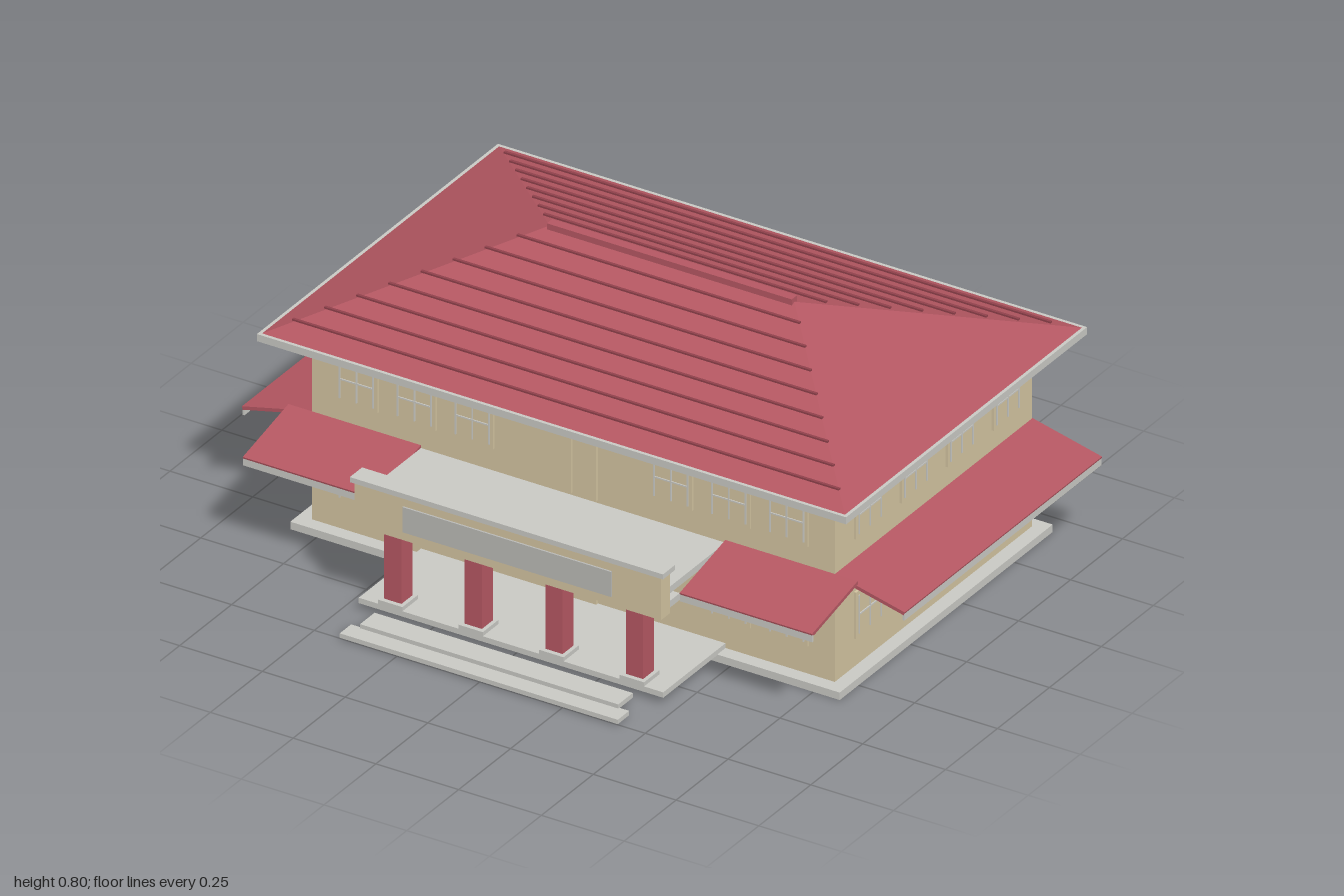
import * as THREE from 'three';

const mat = (name, color) => Object.assign(new THREE.MeshStandardMaterial({ color }), { name });

export function createModel() {
  const root = new THREE.Group();
  root.name = 'building';
  const wall = mat('cream wall', 0xd2c3a0);
  const red = mat('red roof', 0xb45762);
  const seam = mat('dark red seam', 0x8f414b);
  const grey = mat('grey trim', 0xc8c8c3);
  const panel = mat('sign grey', 0xb9b9b5);

  // Box given by its limits on each axis
  const box = (name, m, x0, x1, y0, y1, z0, z1, parent = root) => {
    const mesh = new THREE.Mesh(new THREE.BoxGeometry(x1 - x0, y1 - y0, z1 - z0), m);
    mesh.position.set((x0 + x1) / 2, (y0 + y1) / 2, (z0 + z1) / 2);
    mesh.name = name;
    parent.add(mesh);
    return mesh;
  };

  // Main block
  box('plinth', grey, -0.83, 0.83, 0, 0.022, -0.685, 0.34);
  box('walls', wall, -0.79, 0.79, 0.022, 0.575, -0.65, 0.3);
  box('floorBand', grey, -0.795, 0.795, 0.312, 0.33, -0.66, 0.305);
  box('cornice', grey, -0.795, 0.795, 0.562, 0.572, -0.655, 0.305);

  // Hipped roof with a closed soffit
  const ex = 0.883, ey = 0.587, zf = 0.398, zb = -0.748, rx = 0.37, ry = 0.785, rz = -0.175, sy = 0.572;
  const a = [-ex, ey, zf], b = [ex, ey, zf], c = [ex, ey, zb], d = [-ex, ey, zb];
  const l = [-rx, ry, rz], r = [rx, ry, rz];
  const under = [a, b, c, d].map(([x, , z]) => [x, sy, z]);
  const faces = [a, b, r, a, r, l, c, d, l, c, l, r, b, c, r, d, a, l,
    under[0], under[2], under[1], under[0], under[3], under[2]];
  const hip = new THREE.BufferGeometry();
  hip.setAttribute('position', new THREE.Float32BufferAttribute(faces.flat(), 3));
  hip.computeVertexNormals();
  const roof = new THREE.Mesh(hip, red);
  roof.name = 'hippedRoof';
  root.add(roof);
  box('ridgeCap', red, -rx, rx, 0.78, 0.798, rz - 0.013, rz + 0.013);

  // Fascia frame around the eaves
  box('frontFascia', grey, -0.89, 0.89, 0.567, 0.588, 0.393, 0.405);
  box('backFascia', grey, -0.89, 0.89, 0.567, 0.588, -0.755, -0.743);
  for (const s of [-1, 1]) {
    const f = box('sideFascia', grey, -0.006, 0.006, 0.567, 0.588, -0.743, 0.393);
    f.position.x = s * 0.884;
  }

  // Horizontal seams on the front and back slopes
  for (let i = 1; i <= 8; i++) {
    const t = i / 9;
    const w = ex + (rx - ex) * t;
    const y = ey + (ry - ey) * t + 0.009;
    for (const edge of [zf, zb]) {
      const z = edge + (rz - edge) * t;
      box('roofSeam', seam, -w, w, y - 0.003, y + 0.002, z - 0.004, z + 0.004);
    }
  }

  // Sloping canopy running outwards along +z from its origin
  const canopy = (name, width, run, drop) => {
    const g = new THREE.Group();
    g.name = name;
    const slab = box('canopySlab', red, -width / 2, width / 2, -0.005, 0.005,
      -Math.hypot(run, drop) / 2, Math.hypot(run, drop) / 2, g);
    slab.position.set(0, -drop / 2, run / 2);
    slab.rotation.x = Math.atan2(drop, run);
    box('canopyFascia', grey, -width / 2, width / 2, -drop - 0.02, -drop, run - 0.006, run, g);
    root.add(g);
    return g;
  };
  for (const s of [-1, 1]) {
    const side = canopy('sideCanopy', 0.95, 0.21, 0.05);
    side.position.set(s * 0.79, 0.336, -0.175);
    side.rotation.y = s * Math.PI / 2;
    canopy('frontCanopy', 0.4, 0.22, 0.05).position.set(s * 0.66, 0.336, 0.3);
  }

  // Window: raised cream plate with slim grey glazing bars
  const makeWindow = (w, h) => {
    const g = new THREE.Group();
    g.name = 'window';
    box('windowFrame', wall, -w / 2, w / 2, -h / 2, h / 2, 0, 0.007, g);
    const pw = w / 2 - 0.012, ph = h / 2 - 0.012;
    for (const k of [-1, 0, 1]) {
      box('upright', grey, k * pw - 0.002, k * pw + 0.002, -ph, ph, 0.007, 0.01, g);
    }
    box('crossBar', grey, -pw, pw, -0.002, 0.002, 0.007, 0.01, g);
    root.add(g);
    return g;
  };
  for (const y of [0.174, 0.467]) {
    for (const s of [-1, 1]) {
      for (const z of [0.143, -0.077, -0.298, -0.52]) {
        const win = makeWindow(0.13, 0.137);
        win.position.set(s * 0.79, y, z);
        win.rotation.y = s * Math.PI / 2;
      }
      for (const x of y > 0.3 ? [0.3, 0.475, 0.65] : [0.475, 0.65]) {
        makeWindow(0.125, 0.137).position.set(s * x, y, 0.3);
      }
    }
  }

  // Double doors on both floors
  for (const [y0, y1] of [[0.036, 0.25], [0.34, 0.53]]) {
    for (const s of [-1, 1]) {
      const leaf = box('doorLeaf', wall, -0.036, 0.036, y0, y1, 0.3, 0.308);
      leaf.position.x = s * 0.038;
    }
  }

  // Round red boss under the front eave
  const boss = new THREE.Mesh(new THREE.CylinderGeometry(0.025, 0.025, 0.012, 24), red);
  boss.name = 'eaveBoss';
  boss.rotation.x = Math.PI / 2;
  boss.position.set(0, 0.568, 0.308);
  root.add(boss);

  // Portico: deck, columns, beam, flat roof and parapet
  box('porticoDeck', grey, -0.46, 0.46, 0.02, 0.036, 0.3, 0.6);
  for (const x of [-0.365, -0.122, 0.122, 0.365]) {
    box('columnBase', grey, x - 0.037, x + 0.037, 0.036, 0.048, 0.525, 0.6);
    box('column', red, x - 0.026, x + 0.026, 0.048, 0.272, 0.534, 0.587);
  }
  box('porticoBeam', grey, -0.46, 0.46, 0.27, 0.29, 0.52, 0.575);
  box('porticoRoof', grey, -0.46, 0.46, 0.312, 0.332, 0.3, 0.575);
  box('parapet', wall, -0.463, 0.463, 0.257, 0.385, 0.572, 0.616);
  box('parapetCap', grey, -0.473, 0.473, 0.383, 0.398, 0.563, 0.622);
  box('signPanel', panel, -0.315, 0.315, 0.283, 0.357, 0.616, 0.621);

  // Entrance steps
  box('upperStep', grey, -0.39, 0.39, 0.016, 0.03, 0.635, 0.705);
  box('lowerStep', grey, -0.42, 0.42, 0.005, 0.018, 0.7, 0.755);

  return root;
}
